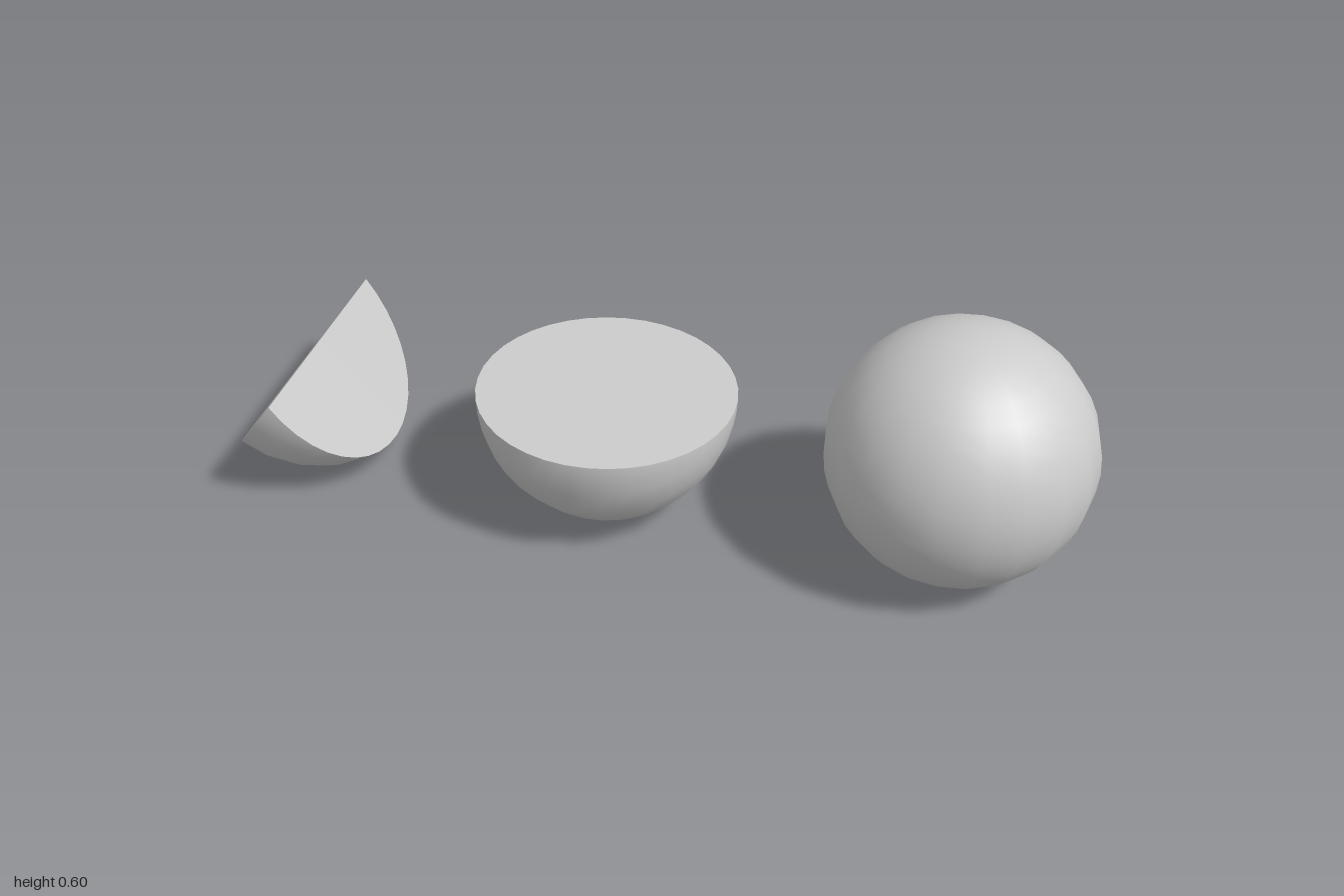
import * as THREE from 'three';

const RADIUS = 0.3;
const STEP = Math.PI / 10; // angle of one segment around the axis
const RINGS = 20;
const material = new THREE.MeshStandardMaterial({ color: 0xcccccc });

// Closed slice of a ball: its axis lies along z, its curved side faces down.
function ballSlice(name, segments) {
  const angle = segments * STEP;
  const start = Math.PI / 2 - angle / 2;
  const slice = new THREE.Group();
  slice.name = name;

  const add = (part, geometry) => {
    geometry.rotateX(Math.PI / 2);
    const mesh = new THREE.Mesh(geometry, material);
    mesh.name = part;
    slice.add(mesh);
  };

  add('curvedSide', new THREE.SphereGeometry(RADIUS, segments, RINGS, start, angle));

  // Flat half discs close both cuts
  const halfDisc = () => new THREE.CircleGeometry(RADIUS, RINGS, -Math.PI / 2, Math.PI);
  add('firstCut', halfDisc().rotateY(start + Math.PI));
  add('secondCut', halfDisc().rotateX(Math.PI).rotateY(start + angle + Math.PI));
  return slice;
}

export function createModel() {
  const model = new THREE.Group();
  model.name = 'ballAndSlices';

  // Whole ball
  const ball = new THREE.Mesh(new THREE.SphereGeometry(RADIUS, 20, RINGS), material);
  ball.name = 'wholeBall';
  ball.position.set(0.7, 0.302, 0);

  // Half ball, its axis turned to x and tipped slightly
  const half = ballSlice('halfBall', 10);
  half.rotation.set(0, Math.PI / 2, -0.017, 'ZYX');
  half.position.set(-0.11, 0.305, 0);

  // Wedge, resting on its curved side and slightly askew
  const wedge = ballSlice('wedge', 4);
  wedge.rotation.set(-0.03, 0.05, 0);
  wedge.position.set(-0.825, 0.304, 0);

  model.add(ball, half, wedge);
  return model;
}
